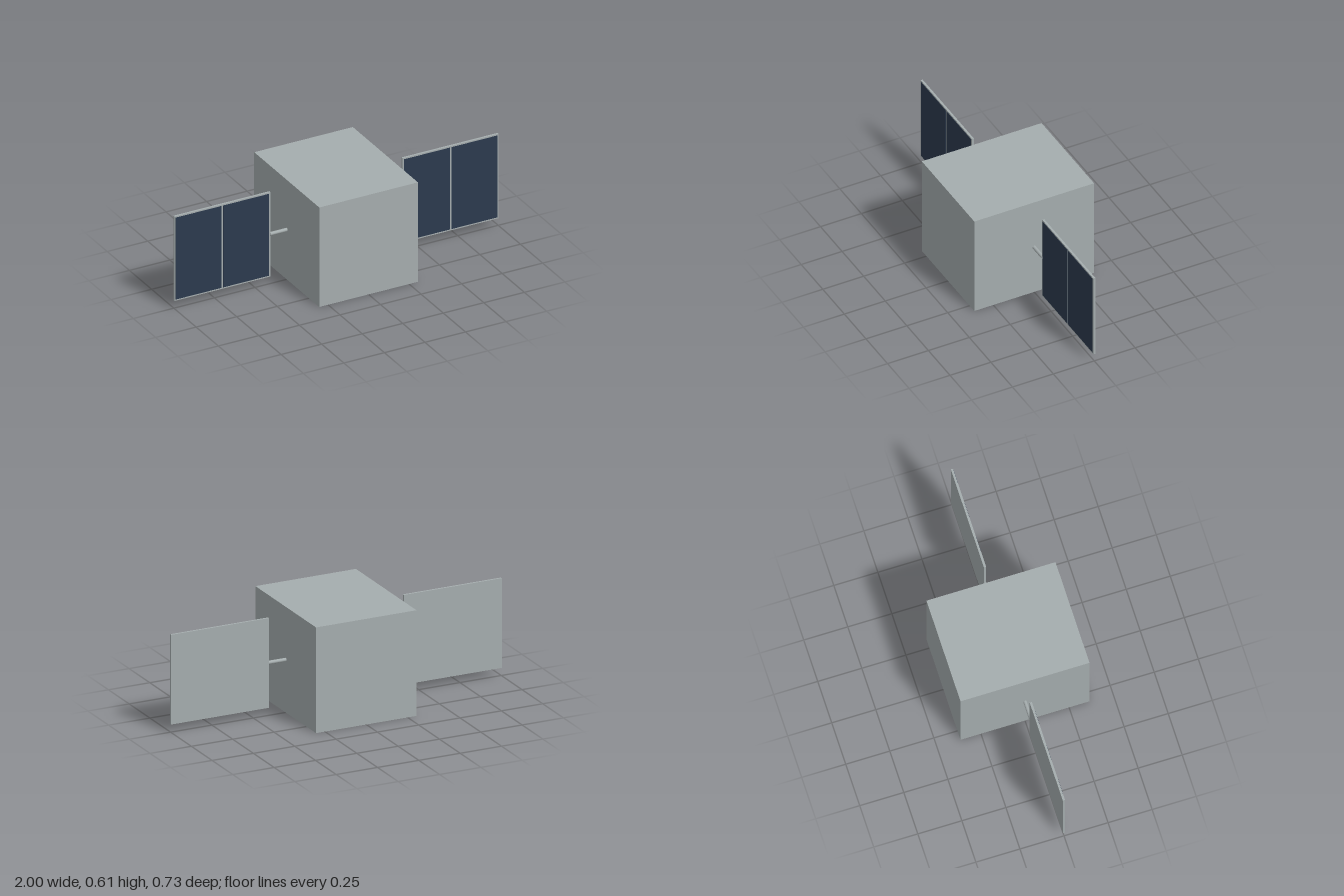
import * as THREE from 'three';

const hull = new THREE.MeshStandardMaterial({ color: 0xa5adae });
hull.name = 'hull grey';
const cell = new THREE.MeshStandardMaterial({ color: 0x2c3a4e });
cell.name = 'solar cell blue';

const MID_Y = 0.304;

function box(name, w, h, d, x, y, z, material) {
  const mesh = new THREE.Mesh(new THREE.BoxGeometry(w, h, d), material);
  mesh.name = name;
  mesh.position.set(x, y, z);
  return mesh;
}

// One wing: rod, backing panel and two cells on the front face
function createWing(side) {
  const wing = new THREE.Group();
  wing.name = side > 0 ? 'leftWing' : 'rightWing';

  const rod = new THREE.Mesh(new THREE.CylinderGeometry(0.0105, 0.0105, 0.105, 12), hull);
  rod.name = 'rod';
  rod.rotation.z = Math.PI / 2;
  rod.position.set(side * 0.3565, MID_Y, 0);
  wing.add(rod);

  wing.add(box('panel', 0.592, 0.516, 0.0125, side * 0.704, MID_Y, -0.0005, hull));
  for (const offset of [-0.1465, 0.1465]) {
    wing.add(box('solarCell', 0.283, 0.5, 0.002, side * 0.704 + offset, MID_Y, 0.006, cell));
  }
  return wing;
}

export function createModel() {
  const model = new THREE.Group();
  model.name = 'satellite';
  model.add(box('body', 0.608, 0.608, 0.732, 0, MID_Y, 0, hull));
  for (const side of [-1, 1]) model.add(createWing(side));
  return model;
}
